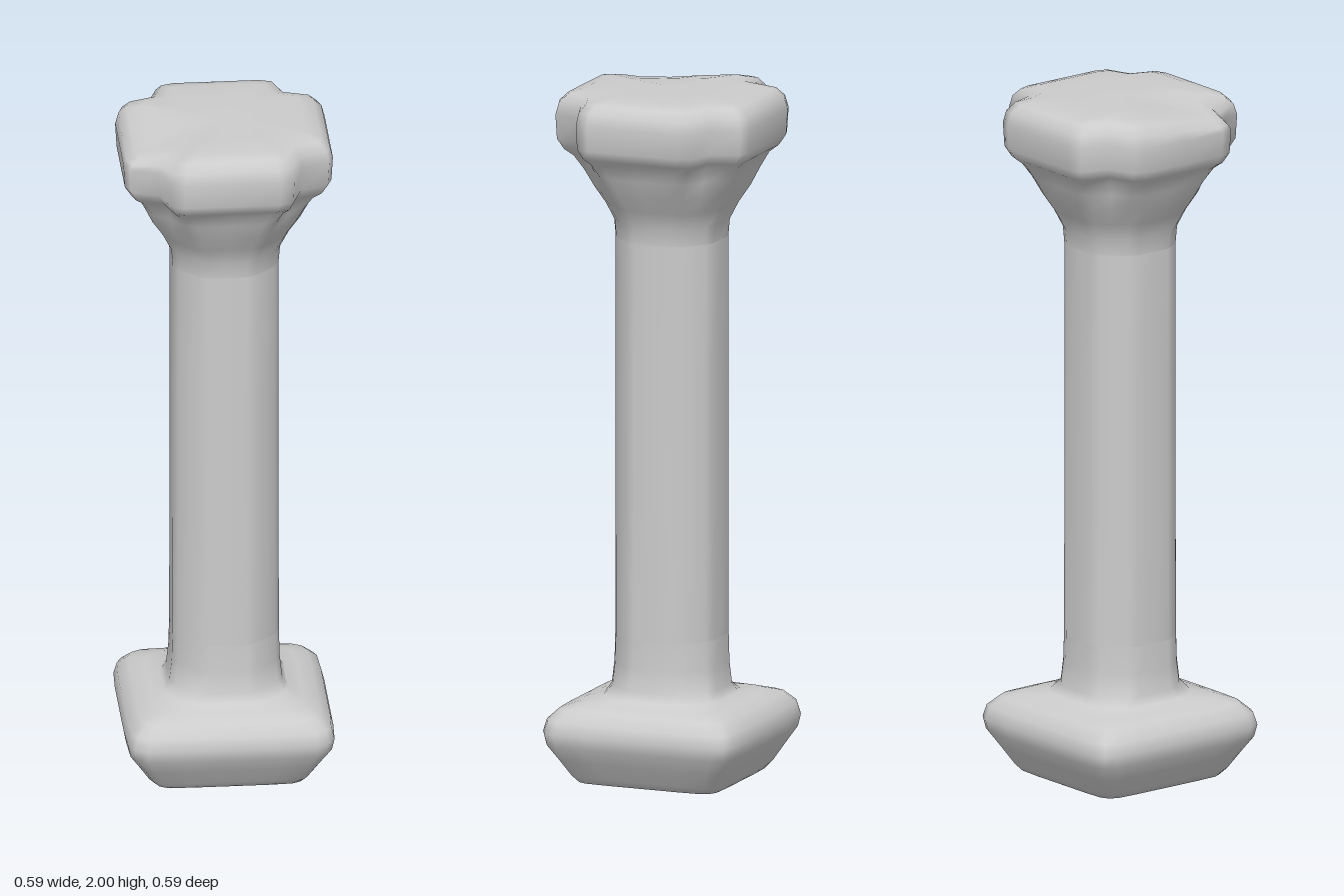
import * as THREE from 'three';

// Outline styles: eighth-turn points (unit half-width), mirrored into a full ring
const ROUND = [[1, 0], [1, 0.36], [0.91, 0.54], [0.745, 0.745]];
const SQUARE = [[1, 0], [1, 0.5], [0.985, 0.82], [0.93, 0.93]];
const NOTCH = [[1, 0], [1, 0.46], [0.955, 0.59], [0.685, 0.685]];

function mix(a, b, t) {
  return a.map((p, i) => [p[0] + (b[i][0] - p[0]) * t, p[1] + (b[i][1] - p[1]) * t]);
}

// Full ring of [x, z], 24 points
function ring(style, h) {
  const [p0, p1, p2, p3] = style;
  const quarter = [p0, p1, p2, p3, [p2[1], p2[0]], [p1[1], p1[0]]];
  const out = [];
  for (let q = 0; q < 4; q++) {
    const c = [1, 0, -1, 0][q], s = [0, 1, 0, -1][q];
    for (const [x, z] of quarter) out.push([(x * c - z * s) * h, (x * s + z * c) * h]);
  }
  return out;
}

// Skin through sections [y, halfWidth, style], with optional end caps
function loft(name, sections, { bottom = null, top = null, warp = null } = {}) {
  const pos = [], idx = [], n = 24;
  for (const [y, h, style] of sections)
    for (const [x, z] of ring(style, h)) pos.push(x, y + (warp ? warp(x, y, z) : 0), z);
  for (let r = 0; r < sections.length - 1; r++)
    for (let i = 0; i < n; i++) {
      const a = r * n + i, b = r * n + (i + 1) % n;
      idx.push(a, a + n, b, b, a + n, b + n);
    }
  if (bottom !== null) {
    const c = pos.length / 3;
    pos.push(0, bottom, 0);
    for (let i = 0; i < n; i++) idx.push(c, i, (i + 1) % n);
  }
  if (top !== null) {
    const c = pos.length / 3, o = (sections.length - 1) * n;
    pos.push(0, top, 0);
    for (let i = 0; i < n; i++) idx.push(c, o + (i + 1) % n, o + i);
  }
  const geo = new THREE.BufferGeometry();
  geo.setAttribute('position', new THREE.Float32BufferAttribute(pos, 3));
  geo.setIndex(idx);
  geo.computeVertexNormals();
  const mesh = new THREE.Mesh(geo, new THREE.MeshStandardMaterial({ color: 0xcccccc }));
  mesh.name = name;
  return mesh;
}

export function createModel() {
  const group = new THREE.Group();
  group.name = 'column';

  // Square cushion-shaped plinth
  group.add(loft('base', [
    [0.0, 0.15, SQUARE],
    [0.01, 0.215, SQUARE],
    [0.03, 0.232, SQUARE],
    [0.08, 0.262, SQUARE],
    [0.125, 0.29, SQUARE],
    [0.16, 0.297, SQUARE],
    [0.195, 0.288, SQUARE],
    [0.225, 0.258, SQUARE],
    [0.24, 0.215, mix(SQUARE, ROUND, 0.2)],
    [0.25, 0.175, mix(SQUARE, ROUND, 0.7)],
    [0.275, 0.16, ROUND],
    [0.34, 0.153, ROUND],
    [0.42, 0.151, ROUND],
  ], { bottom: 0 }));

  // Soft-cornered shaft
  group.add(loft('shaft', [
    [0.42, 0.151, ROUND],
    [0.8, 0.15, ROUND],
    [1.2, 0.15, ROUND],
    [1.57, 0.15, ROUND],
  ]));

  // Flared capital with notched corners and a slightly worn front left top
  const wear = (x, y, z) => {
    if (y < 1.96) return 0;
    const d = Math.hypot(x + 0.25, z - 0.12) / 0.2;
    return -0.03 * Math.max(0, 1 - d);
  };
  group.add(loft('capital', [
    [1.57, 0.15, ROUND],
    [1.62, 0.154, ROUND],
    [1.67, 0.178, ROUND],
    [1.72, 0.21, ROUND],
    [1.77, 0.232, mix(ROUND, NOTCH, 0.4)],
    [1.81, 0.25, NOTCH],
    [1.83, 0.275, NOTCH],
    [1.86, 0.293, NOTCH],
    [1.93, 0.297, NOTCH],
    [1.965, 0.288, NOTCH],
    [1.988, 0.265, NOTCH],
    [1.998, 0.225, NOTCH],
    [2.0, 0.14, ROUND],
  ], { top: 1.998, warp: wear }));

  return group;
}
